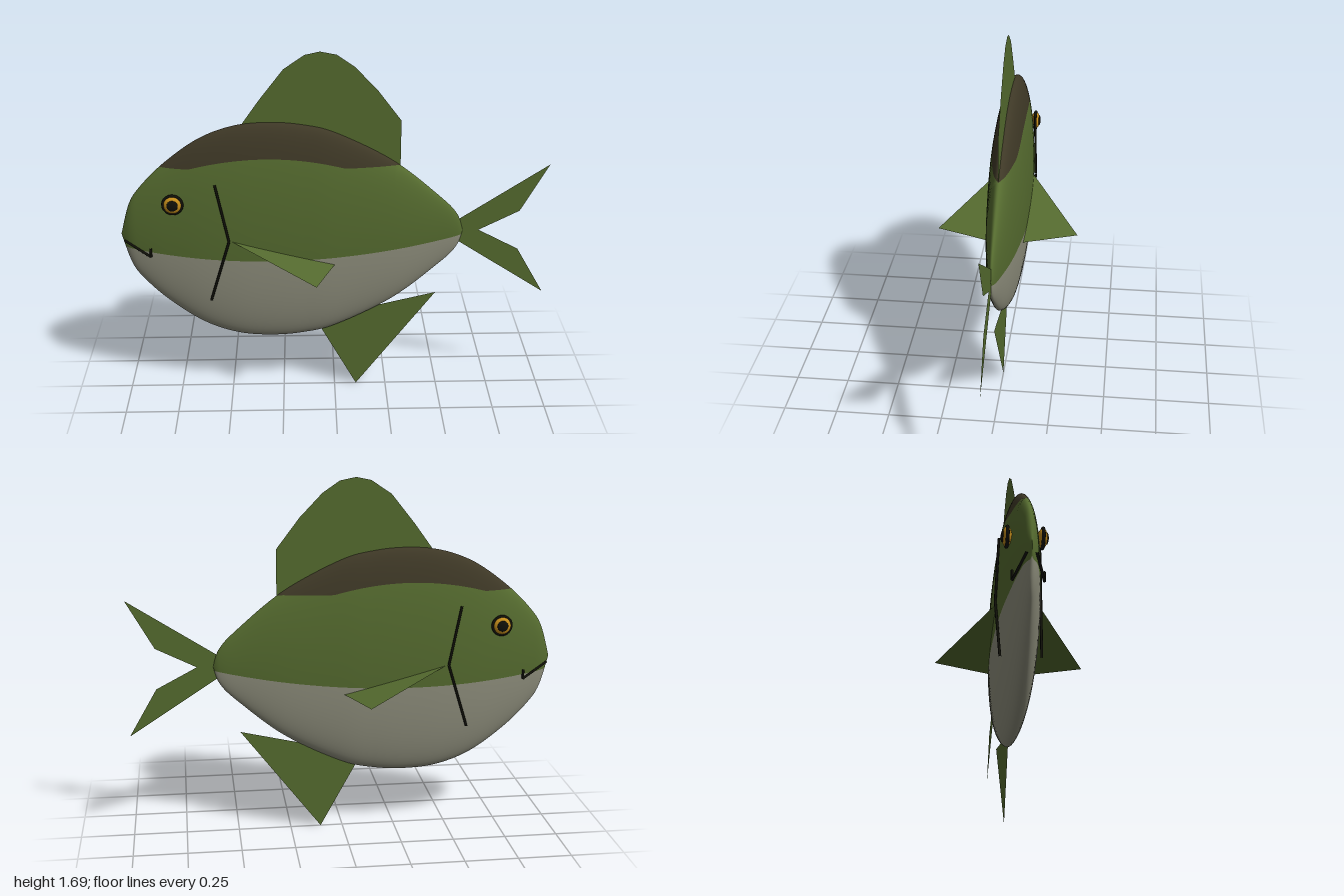
import * as THREE from 'three';

const mat = (name, color, side = THREE.FrontSide) => {
  const m = new THREE.MeshStandardMaterial({ color, side });
  m.name = name;
  return m;
};

export function createModel() {
  const group = new THREE.Group();
  const olive = mat('olive', 0x556b2f, THREE.DoubleSide);
  const brown = mat('dark brown', 0x3e3826);
  const grey = mat('pale grey', 0x8f8f7d);
  const gold = mat('gold', 0xc8901c);
  const black = mat('black', 0x101008);

  const add = (name, geometry, material, parent = group) => {
    const mesh = new THREE.Mesh(geometry, material);
    mesh.name = name;
    parent.add(mesh);
    return mesh;
  };

  // Body: flat elliptical sections along x, half height taken from a profile
  const midY = 0.82, flat = 0.176;
  const profile = new THREE.SplineCurve([
    [-1, 0], [-0.957, 0.15], [-0.9, 0.237], [-0.79, 0.347], [-0.63, 0.463], [-0.47, 0.525],
    [-0.31, 0.542], [-0.15, 0.53], [0.01, 0.488], [0.275, 0.35], [0.49, 0.175], [0.575, 0.085], [0.605, 0],
  ].map(([x, h]) => new THREE.Vector2(x, h)));

  // Angle from the top at which a section reaches height y
  const angleAt = (y, h) => Math.acos(THREE.MathUtils.clamp((y - midY) / Math.max(h, 1e-4), -1, 1));
  const backAngle = (x, h) => angleAt(Math.max(1.155, 1.207 - 0.4 * (x + 0.31) ** 2), h);
  const bellyAngle = (x, h) => angleAt(0.71 + 0.11 * (x + 0.31) ** 2, h);

  // One lengthwise colour band of the body between two angles
  function band(from, to, rows) {
    const cols = 96, pos = [], nor = [], idx = [];
    const n = new THREE.Vector3();
    for (let i = 0; i <= cols; i++) {
      const { x, y } = profile.getPoint(i / cols);
      const h = Math.max(y, 0), tan = profile.getTangent(i / cols);
      const a = from(x, h), b = to(x, h);
      for (let j = 0; j <= rows; j++) {
        const t = a + (b - a) * j / rows, c = Math.cos(t), s = Math.sin(t);
        pos.push(x, midY + h * c, flat * h * s);
        n.set(-tan.y, tan.x * c, tan.x * s / flat).normalize();
        nor.push(n.x, n.y, n.z);
        if (i < cols && j < rows) {
          const p = i * (rows + 1) + j, q = p + rows + 1;
          idx.push(p, p + 1, q, p + 1, q + 1, q);
        }
      }
    }
    const g = new THREE.BufferGeometry();
    g.setAttribute('position', new THREE.Float32BufferAttribute(pos, 3));
    g.setAttribute('normal', new THREE.Float32BufferAttribute(nor, 3));
    g.setIndex(idx);
    return g;
  }
  const turn = 2 * Math.PI;
  add('back', band((x, h) => -backAngle(x, h), backAngle, 24), brown);
  add('frontFlank', band(backAngle, bellyAngle, 16), olive);
  add('rearFlank', band((x, h) => turn - bellyAngle(x, h), (x, h) => turn - backAngle(x, h), 16), olive);
  add('belly', band(bellyAngle, (x, h) => turn - bellyAngle(x, h), 32), grey);

  // Flat fins in the middle plane
  const fin = (name, pts) =>
    add(name, new THREE.ShapeGeometry(new THREE.Shape(pts.map(([x, y]) => new THREE.Vector2(x, y)))), olive);
  fin('dorsalFin', [
    [-0.44, 1.33], [-0.34, 1.47], [-0.23, 1.61], [-0.135, 1.675], [-0.065, 1.69], [0.01, 1.675],
    [0.09, 1.62], [0.195, 1.51], [0.305, 1.365], [0.305, 1.1], [0, 1.2],
  ]);
  fin('tailFin', [
    [0.56, 0.86], [1, 1.145], [0.87, 0.915], [0.68, 0.82], [0.87, 0.72], [1, 0.495], [0.56, 0.78],
  ]);
  fin('analFin', [[-0.08, 0.335], [0.105, 0], [0.485, 0.495], [0.12, 0.41], [0, 0.45]]);

  // Straight-sided line made of round rods
  const line = (name, pts, parent) => {
    const path = new THREE.CurvePath();
    const v = pts.map((p) => new THREE.Vector3(...p));
    for (let i = 1; i < v.length; i++) path.add(new THREE.LineCurve3(v[i - 1], v[i]));
    path.curves.forEach((c) => add(name, new THREE.TubeGeometry(c, 1, 0.006, 8), black, parent));
  };

  // Parts repeated on both flanks
  for (const s of [1, -1]) {
    const flank = new THREE.Group();
    flank.name = s > 0 ? 'frontFlankDetails' : 'rearFlankDetails';
    group.add(flank);

    const pectoral = new THREE.BufferGeometry();
    pectoral.setAttribute('position', new THREE.Float32BufferAttribute(
      [-0.49, 0.815, s * 0.085, -0.09, 0.69, s * 0.337, 0, 0.685, s * 0.08], 3));
    pectoral.computeVertexNormals();
    add('pectoralFin', pectoral, olive, flank);

    line('gillLine', [[-0.55, 1.095, s * 0.09], [-0.492, 0.815, s * 0.1], [-0.585, 0.51, s * 0.088]], flank);
    line('mouthLine', [[-0.985, 0.793, s * 0.02], [-0.86, 0.727, s * 0.066], [-0.86, 0.772, s * 0.066]], flank);

    // Eye: rim, iris and pupil
    const eye = new THREE.Group();
    eye.name = 'eye';
    eye.position.set(-0.747, 0.993, s * 0.076);
    flank.add(eye);
    add('eyeRim', new THREE.TorusGeometry(0.043, 0.008, 8, 32), black, eye);
    add('iris', new THREE.SphereGeometry(0.043, 24, 16), gold, eye).scale.z = 0.5;
    const pupil = add('pupil', new THREE.SphereGeometry(0.026, 20, 12), black, eye);
    pupil.scale.z = 0.35;
    pupil.position.z = s * 0.017;
  }
  return group;
}
